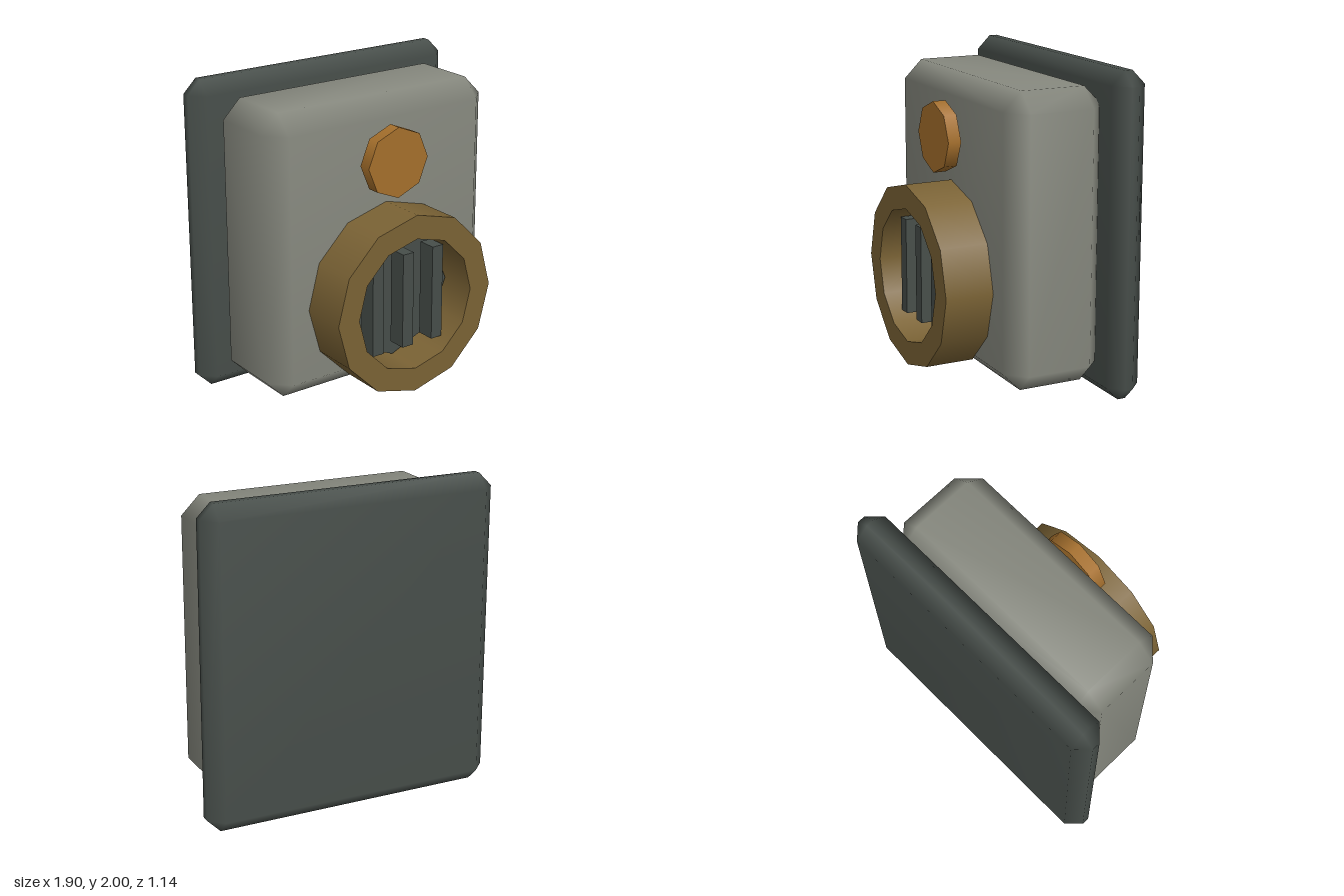
import * as THREE from 'three';
import { mergeVertices } from 'three/addons/utils/BufferGeometryUtils.js';
import { ConvexGeometry } from 'three/addons/geometries/ConvexGeometry.js';

const material = (color) => new THREE.MeshStandardMaterial({ color });

// Box with one bevel step on every edge and smooth shading across it
function bevelledBox(w, h, d, bevel) {
  const half = [w / 2, h / 2, d / 2];
  const points = [];
  for (const sx of [-1, 1]) for (const sy of [-1, 1]) for (const sz of [-1, 1]) {
    for (let axis = 0; axis < 3; axis++) {
      const p = [sx, sy, sz].map((s, i) => s * (half[i] - (i === axis ? 0 : bevel)));
      points.push(new THREE.Vector3(...p));
    }
  }
  let geometry = new ConvexGeometry(points);
  geometry.deleteAttribute('normal');
  geometry = mergeVertices(geometry);
  geometry.computeVertexNormals();
  return geometry;
}

// Cylinder along z between two depths
function zCylinder(radius, back, front, sides, open = false) {
  const geometry = new THREE.CylinderGeometry(radius, radius, front - back, sides, 1, open);
  return geometry.rotateX(Math.PI / 2).translate(0, 0, (front + back) / 2);
}

export function createModel() {
  const model = new THREE.Group();
  const dark = material(0x474e4a);
  const housing = material(0x87897f);
  const brass = material(0x7b6335);
  const copper = material(0xa6702c);

  const add = (name, geometry, mat, x, y, z, parent = model) => {
    const mesh = new THREE.Mesh(geometry, mat);
    mesh.name = name;
    mesh.position.set(x, y, z);
    parent.add(mesh);
    return mesh;
  };

  // Wall plate and housing
  add('backPlate', bevelledBox(1.9, 2, 0.222, 0.086), dark, 0, 1, -0.456);
  add('housing', bevelledBox(1.624, 1.8, 0.645, 0.118), housing, 0, 1, -0.058);

  // Twelve-sided hollow collar
  const collar = new THREE.Group();
  collar.name = 'collar';
  collar.position.y = 0.68;
  model.add(collar);
  const back = 0.262, front = 0.57, outer = 0.575, inner = 0.424;
  add('collarOuterWall', zCylinder(outer, back, front, 12, true), brass, 0, 0, 0, collar);
  const innerMaterial = material(0x7b6335);
  innerMaterial.side = THREE.BackSide;
  add('collarInnerWall', zCylinder(inner, back, front, 12, true), innerMaterial, 0, 0, 0, collar);
  const rim = new THREE.RingGeometry(inner, outer, 12);
  add('collarFrontRim', rim, brass, 0, 0, front, collar);
  add('collarBackRim', rim, brass, 0, 0, back, collar).rotation.x = Math.PI;

  // Recessed disc and vertical grille bars
  add('grilleDisc', zCylinder(0.415, 0.27, 0.335, 8), dark, 0, 0.68, 0);
  for (const x of [-0.225, 0, 0.225]) {
    add('grilleBar', new THREE.BoxGeometry(0.08, 0.61, 0.12), dark, x, 0.68, 0.43);
  }

  // Eight-sided button above the collar
  add('button', zCylinder(0.22, 0.3, 0.383, 8), copper, 0, 1.53, 0);

  return model;
}
